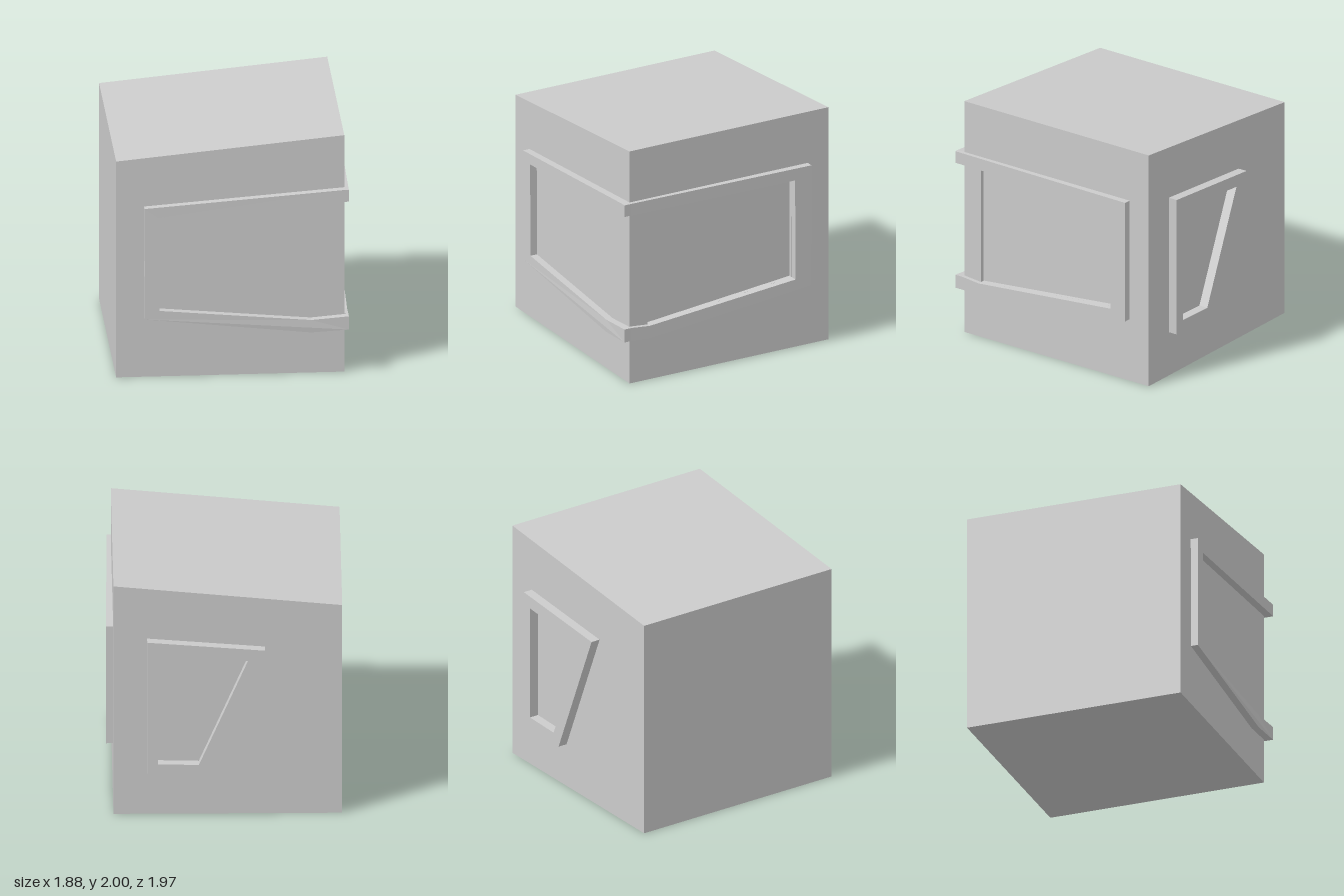
import * as THREE from 'three';

const material = new THREE.MeshStandardMaterial({ color: 0xcccccc, flatShading: true });

const toPoints = (list) => list.map(([x, y]) => new THREE.Vector2(x, y));

// Flat outline, with an optional hole, extruded from z = near to z = far
function plate(outline, near, far, hole) {
  const shape = new THREE.Shape(toPoints(outline));
  if (hole) shape.holes.push(new THREE.Path(toPoints(hole)));
  const geometry = new THREE.ExtrudeGeometry(shape, { depth: far - near, bevelEnabled: false });
  return geometry.translate(0, 0, near);
}

// Move every vertex by a rule
function reshape(geometry, rule) {
  const p = geometry.attributes.position;
  const v = new THREE.Vector3();
  for (let i = 0; i < p.count; i++) {
    rule(v.fromBufferAttribute(p, i));
    p.setXYZ(i, v.x, v.y, v.z);
  }
  geometry.computeVertexNormals();
  return geometry;
}

export function createModel() {
  const group = new THREE.Group();
  const add = (name, geometry) => {
    const mesh = new THREE.Mesh(geometry, material);
    mesh.name = name;
    group.add(mesh);
  };

  const LEFT = -0.94, RIGHT = 0.878, FLOOR = 0.842;
  const FRONT = 0.915, BACK = -0.907;
  const roof = (x) => 2 - (RIGHT - x) * 0.0957;

  // Main block with its sloping roof
  add('body', plate([[LEFT, 0], [FLOOR, 0], [FLOOR, roof(FLOOR)], [LEFT, roof(LEFT)]], BACK, FRONT));

  // Side skin whose opening forms the recessed side window; u runs along -z
  const skin = plate(
    [[-FRONT, 0], [-BACK, 0], [-BACK, 2], [-FRONT, 2]], FLOOR, RIGHT,
    [[-0.75, 0.475], [0.57, 0.605], [0.57, 1.46], [-0.75, 1.46]]
  ).rotateY(Math.PI / 2);
  add('sideWall', reshape(skin, (v) => { if (v.y > 1.9) v.y = roof(v.x); }));

  // Front half of the wraparound window frame, open at the corner
  const frontFrame = plate([
    [0.91, 1.56], [0.878, 1.56], [-0.718, 1.44], [-0.715, 0.505], [0.61, 0.36], [0.91, 0.378],
    [0.91, 0.49], [0.61, 0.465], [-0.6, 0.575], [-0.603, 1.36], [0.878, 1.46], [0.91, 1.46]
  ], FRONT, 0.975);
  add('frontWindowFrame', reshape(frontFrame, (v) => { if (v.z > 0.95 && v.x > 0.65) v.z = 0.98; }));

  // Side half of the frame, standing out a little more towards the back
  const sideFrame = plate([
    [-FRONT, 1.56], [-FRONT, 1.46], [0.57, 1.46], [0.573, 0.605], [-0.75, 0.475], [-FRONT, 0.49],
    [-FRONT, 0.378], [-0.75, 0.37], [0.715, 0.53], [0.718, 1.56]
  ], RIGHT, 0.91).rotateY(Math.PI / 2);
  add('sideWindowFrame', reshape(sideFrame, (v) => { if (v.x > 0.9) v.x += (FRONT - v.z) * 0.0165; }));

  // Tapered window frame on the back; u runs along -x
  const backFrame = plate(
    [[-0.61, 1.54], [-0.61, 0.375], [-0.13, 0.367], [0.325, 1.465]], -BACK, 0.985,
    [[-0.525, 1.43], [0.19, 1.375], [-0.2, 0.463], [-0.525, 0.47]]
  ).rotateY(Math.PI);
  add('backWindowFrame', backFrame);

  return group;
}
